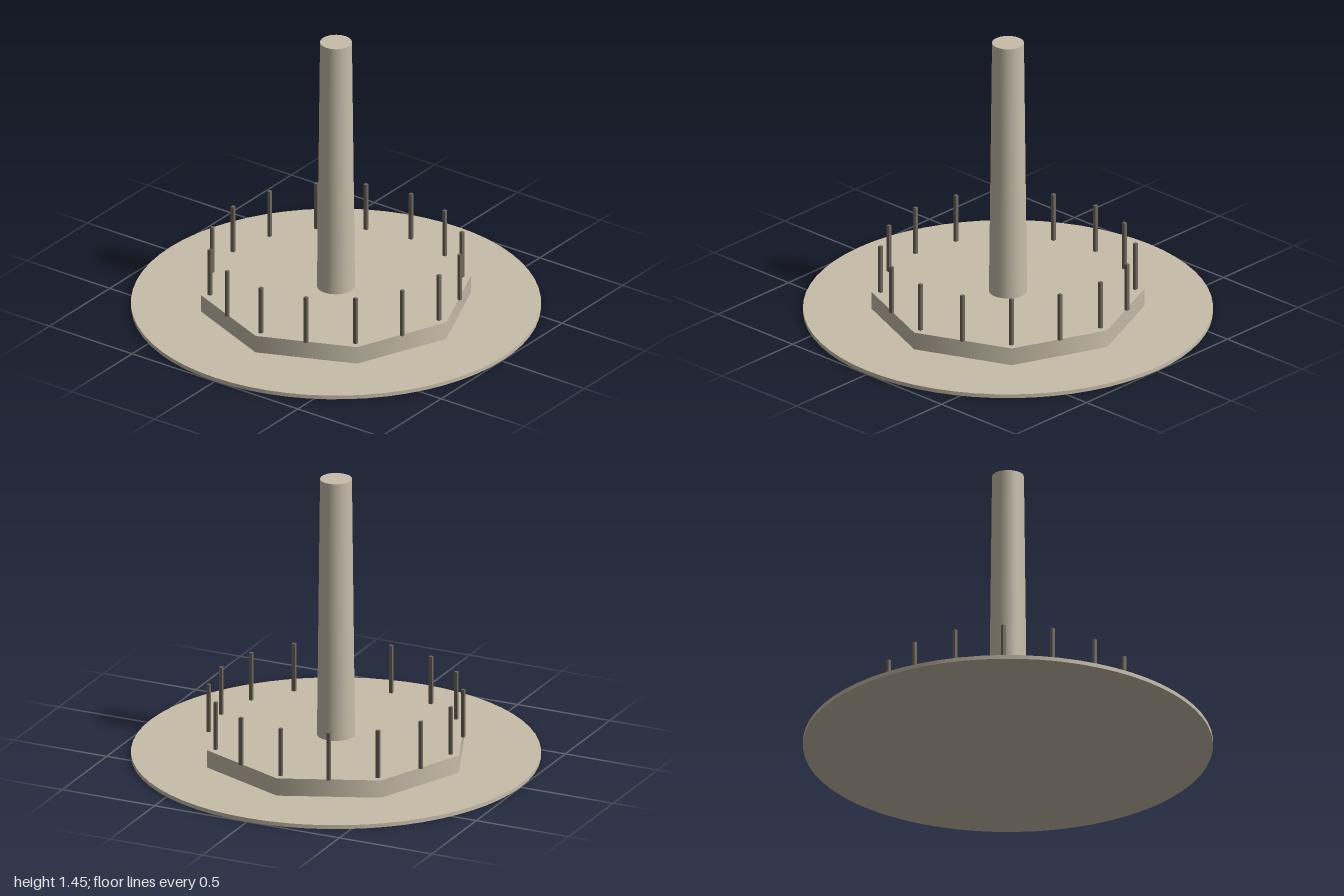
import * as THREE from 'three';

export function createModel() {
  const model = new THREE.Group();
  const stone = new THREE.MeshStandardMaterial({ color: 0xc6bda9 });
  stone.name = 'pale stone';
  const metal = new THREE.MeshStandardMaterial({ color: 0x6e685c });
  metal.name = 'dark metal';

  // Adds a part standing on height y
  function addPart(name, geometry, material, y, height, x = 0, z = 0) {
    const mesh = new THREE.Mesh(geometry, material);
    mesh.name = name;
    mesh.position.set(x, y + height / 2, z);
    model.add(mesh);
  }

  // Thin round ground slab, octagonal platform and tapered central pillar
  addPart('groundSlab', new THREE.CylinderGeometry(1, 1, 0.02, 64), stone, 0, 0.02);
  addPart('octagonalPlatform', new THREE.CylinderGeometry(0.665, 0.665, 0.09, 8), stone, 0.02, 0.09);
  addPart('centralPillar', new THREE.CylinderGeometry(0.078, 0.093, 1.335, 32), stone, 0.11, 1.335);

  // Ring of slender square posts around the platform edge
  const postCount = 16;
  const postGeometry = new THREE.BoxGeometry(0.017, 0.247, 0.017);
  for (let i = 0; i < postCount; i++) {
    const angle = (i / postCount) * Math.PI * 2;
    addPart('railingPost', postGeometry, metal, 0.11, 0.247,
      0.621 * Math.sin(angle), 0.621 * Math.cos(angle));
  }

  return model;
}
